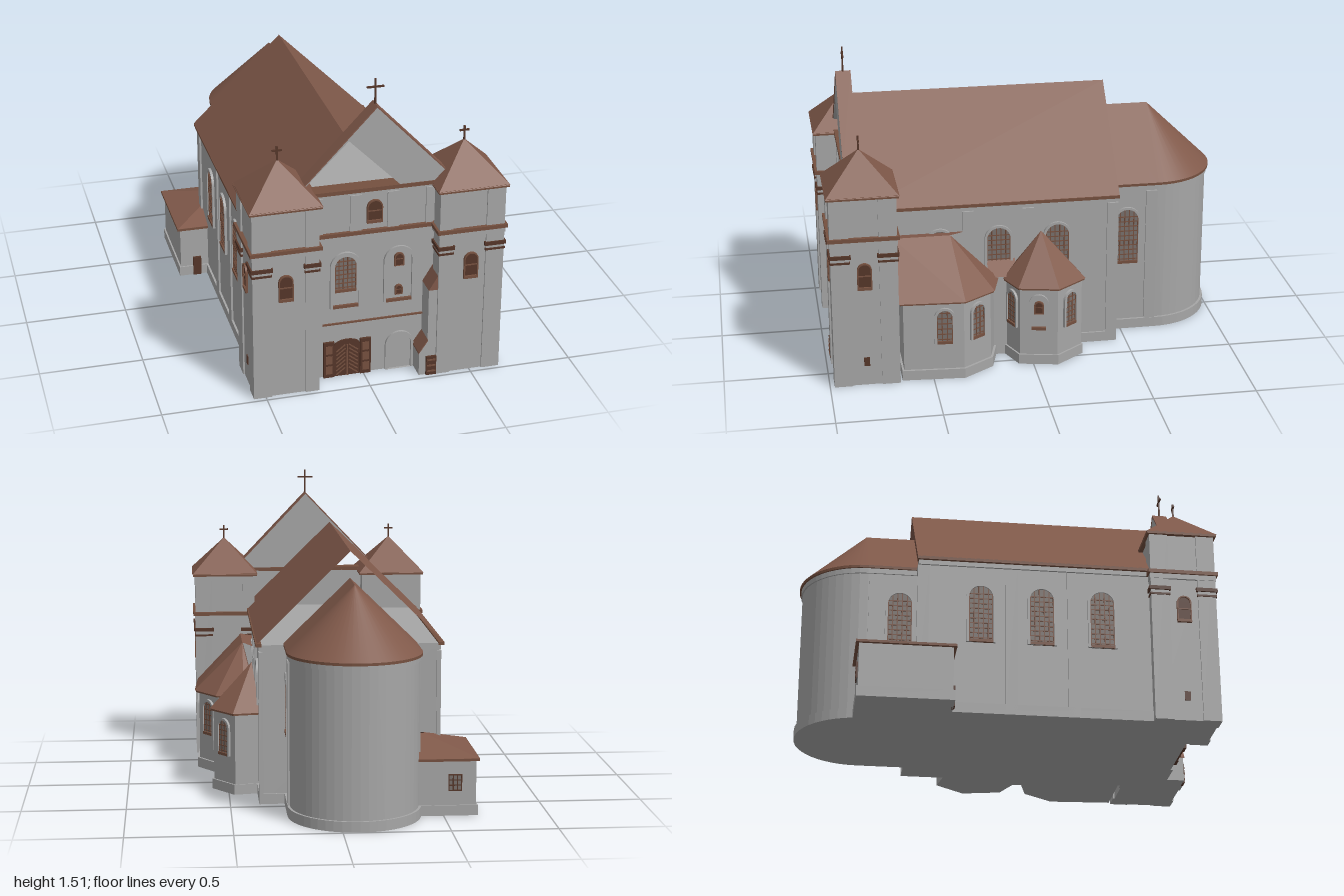
import * as THREE from 'three';

const material = (name, color, side = THREE.FrontSide) => {
  const m = new THREE.MeshStandardMaterial({ color, side });
  m.name = name;
  return m;
};

export function createModel() {
  const wall = material('grey plaster', 0xa6a6a6);
  const tile = material('brown roof tile', 0x80594a, THREE.DoubleSide);
  const trim = material('brown trim', 0x75503f);
  const wood = material('dark wood', 0x553629);
  const glass = material('grey glass', 0x77706c);
  const root = new THREE.Group();
  root.name = 'church';
  const CX = -0.08; // nave axis

  const add = (name, geo, mat, parent = root) => {
    const m = new THREE.Mesh(geo, mat);
    m.name = name;
    parent.add(m);
    return m;
  };
  // box given by its limits
  const box = (name, mat, x0, x1, y0, y1, z0, z1, parent = root) => {
    const m = add(name, new THREE.BoxGeometry(x1 - x0, y1 - y0, z1 - z0), mat, parent);
    m.position.set((x0 + x1) / 2, (y0 + y1) / 2, (z0 + z1) / 2);
    return m;
  };
  // upright prism over a floor plan of [x, z] points
  const prism = (name, mat, plan, y0, y1) => {
    const shape = new THREE.Shape(plan.map(([x, z]) => new THREE.Vector2(x, -z)));
    const geo = new THREE.ExtrudeGeometry(shape, { depth: y1 - y0, bevelEnabled: false });
    geo.rotateX(-Math.PI / 2).translate(0, y0, 0);
    return add(name, geo, mat);
  };
  // plate in the xy plane, extruded along z
  const plate = (name, mat, pts, z0, z1) => {
    const shape = new THREE.Shape(pts.map(([x, y]) => new THREE.Vector2(x, y)));
    const geo = new THREE.ExtrudeGeometry(shape, { depth: z1 - z0, bevelEnabled: false });
    return add(name, geo.translate(0, 0, z0), mat);
  };
  // roof surface between an eave line and an upper line of equal length
  const roof = (name, eave, upper, smooth = false) => {
    let geo = new THREE.BufferGeometry();
    const index = [];
    for (let i = 0; i < eave.length - 1; i++) {
      const a = 2 * i;
      index.push(a, a + 1, a + 2, a + 2, a + 1, a + 3);
    }
    const pos = eave.flatMap((p, i) => [...p, ...upper[i]]);
    geo.setAttribute('position', new THREE.Float32BufferAttribute(pos, 3));
    geo.setIndex(index);
    if (!smooth) geo = geo.toNonIndexed();
    geo.computeVertexNormals();
    return add(name, geo, tile);
  };
  const archShape = (w, h, rise = w / 2) => {
    const s = new THREE.Shape();
    s.moveTo(-w / 2, 0);
    s.lineTo(w / 2, 0);
    s.lineTo(w / 2, h - rise);
    s.absellipse(0, h - rise, w / 2, rise, 0, Math.PI, false);
    s.lineTo(-w / 2, 0);
    return s;
  };
  const arch = (shape, depth) => new THREE.ExtrudeGeometry(shape, { depth, bevelEnabled: false, curveSegments: 10 });

  // arched window on a wall; kind: 'grid' (glazed), 'dark' (louvres) or 'blind'
  const arched = (x, z, rot, y, w, h, kind = 'grid', sill = true) => {
    const g = new THREE.Group();
    g.name = kind + 'Window';
    g.position.set(x, y, z);
    g.rotation.y = rot;
    root.add(g);
    const t = kind === 'dark' ? 0.006 : 0.012;
    const ring = archShape(w + 2 * t, h + t);
    ring.holes.push(archShape(w, h));
    add('surround', arch(ring, 0.012), kind === 'dark' ? trim : wall, g);
    if (sill) box('sill', trim, -w / 2, w / 2, 0, 0.014, 0, 0.013, g);
    if (kind === 'blind') return g;
    add('pane', arch(archShape(w, h), 0.004), kind === 'dark' ? wood : glass, g);
    if (kind === 'dark') {
      box('louvre', trim, -w / 2, w / 2, h * 0.52, h * 0.56, 0, 0.008, g);
      return g;
    }
    const n = w > 0.09 ? 5 : 3;
    for (let i = 0; i <= n; i++) {
      const u = Math.max(-0.48, Math.min(0.48, i / n - 0.5));
      const top = h - w / 2 + w * Math.sqrt(0.25 - u * u);
      box('upright bar', trim, u * w - 0.0025, u * w + 0.0025, 0, top, 0, 0.007, g);
    }
    for (let yy = 0.02; yy < h - w * 0.2; yy += w / n * 1.1) {
      const over = Math.max(0, yy - (h - w / 2));
      const half = Math.sqrt(w * w / 4 - over * over);
      box('cross bar', trim, -half, half, yy, yy + 0.005, 0, 0.007, g);
    }
    return g;
  };
  // window at fraction t along a wall from a to b, outside on the side (-dz, dx)
  const onEdge = (a, b, t, ...rest) => {
    const dx = b[0] - a[0], dz = b[1] - a[1];
    return arched(a[0] + dx * t, a[1] + dz * t, Math.atan2(-dz, dx), ...rest);
  };

  // Nave
  box('nave walls', wall, CX - 0.43, CX + 0.43, 0, 0.78, -0.44, 0.82);
  box('nave plinth', wall, CX - 0.44, CX + 0.44, 0, 0.05, -0.45, 0.7);
  box('nave cornice', wall, CX - 0.44, CX + 0.44, 0.75, 0.78, -0.448, 0.7);
  roof('nave roof', [[-0.535, 0.785, -0.455], [-0.535, 0.785, 0.82]], [[CX, 1.23, -0.455], [CX, 1.23, 0.82]]);
  roof('nave roof', [[0.37, 0.785, -0.455], [0.37, 0.785, 0.82]], [[CX, 1.23, -0.455], [CX, 1.23, 0.82]]);
  for (const s of [-1, 1]) {
    const x = CX + s * 0.43, rot = s * Math.PI / 2;
    box('nave eave', trim, CX + s * 0.44 - 0.014, CX + s * 0.44 + 0.014, 0.772, 0.787, -0.455, 0.7);
    for (const z of [0.29, -0.005, -0.425])
      box('nave pilaster', wall, x - 0.01, x + 0.01, 0, 0.745, z - 0.028, z + 0.028);
    for (const z of [0.43, 0.14, -0.15]) arched(x, z, rot, 0.36, 0.115, 0.29);
    arched(CX + s * 0.305, -0.525, rot, 0.36, 0.115, 0.29);
    box('apse pilaster', wall, CX + s * 0.305 - 0.01, CX + s * 0.305 + 0.01, 0, 0.745, -0.675, -0.62);
  }

  // Apse: straight bay with a round end
  const apsePlan = (r) => {
    const p = [[CX + r, -0.44]];
    for (let i = 0; i <= 24; i++) {
      const a = Math.PI * i / 24;
      p.push([CX + r * Math.cos(a), -0.68 - r * Math.sin(a)]);
    }
    p.push([CX - r, -0.44]);
    return p;
  };
  prism('apse walls', wall, apsePlan(0.305), 0, 0.78);
  prism('apse plinth', wall, apsePlan(0.317), 0, 0.05);
  prism('apse cornice', wall, apsePlan(0.312), 0.75, 0.775);
  prism('apse eave', trim, apsePlan(0.32), 0.775, 0.788);
  const eave = apsePlan(0.32).map(([x, z]) => [x, 0.788, z]);
  roof('apse roof', eave, eave.map(([, , z]) => [CX, 1.1, Math.max(z, -0.68)]), true);

  // Front towers
  for (const [cx, out] of [[-0.4, -1], [0.49, 1]]) {
    const cz = 0.82, h = 0.158;
    const square = (name, mat, r, y0, y1) => box(name, mat, cx - r, cx + r, y0, y1, cz - r, cz + r);
    square('tower walls', wall, h - 0.008, 0, 0.965);
    for (const sx of [-1, 1]) for (const sz of [-1, 1]) {
      const w = sx === out ? 0.088 : 0.066;
      const corner = (name, mat, e, y0, y1) => box(name, mat,
        sx > 0 ? cx + h - w - e : cx - h - e, sx > 0 ? cx + h + e : cx - h + w + e, y0, y1,
        sz > 0 ? cz + h - 0.088 - e : cz - h - e, sz > 0 ? cz + h + e : cz - h + 0.088 + e);
      corner('tower pilaster', wall, 0, 0, 0.965);
      corner('upper capital', wood, 0.008, 0.664, 0.682);
      corner('lower capital', wood, 0.004, 0.638, 0.648);
    }
    square('tower frieze', wall, 0.161, 0.725, 0.75);
    square('tower cornice', trim, 0.17, 0.75, 0.768);
    square('tower eave', trim, 0.17, 0.96, 0.974);
    const r = 0.173, base = [[-r, -r], [r, -r], [r, r], [-r, r], [-r, -r]].map(([x, z]) => [cx + x, 0.97, cz + z]);
    roof('tower roof', base, base.map(() => [cx, 1.15, cz]));
    box('tower cross post', wood, cx - 0.004, cx + 0.004, 1.14, 1.215, cz - 0.004, cz + 0.004);
    box('tower cross arm', wood, cx - 0.023, cx + 0.023, 1.19, 1.198, cz - 0.004, cz + 0.004);
    arched(cx, cz + h - 0.008, 0, 0.5, 0.058, 0.13, 'dark');
    arched(cx + out * (h - 0.008), cz, out * Math.PI / 2, 0.5, 0.058, 0.13, 'dark');
    const slot = cx + out * (h - 0.008);
    box('small tower window', wood, slot - 0.004, slot + 0.004, 0.1, 0.145, cz - 0.014, cz + 0.014);
  }

  // Facade between the towers
  const FZ = 0.87;
  box('facade wall', wall, -0.26, 0.36, 0, 0.968, 0.81, FZ);
  box('facade cornice', trim, -0.25, 0.34, 0.75, 0.768, 0.81, 0.888);
  box('parapet cap', trim, -0.25, 0.34, 0.966, 0.985, 0.81, 0.886);
  box('facade string course', trim, -0.2, 0.29, 0.281, 0.289, FZ, FZ + 0.008);
  for (const [a, b] of [[-0.235, -0.2], [-0.07, -0.015], [0.11, 0.165], [0.295, 0.33]])
    box('attic pilaster', wall, a, b, 0.768, 0.95, FZ, FZ + 0.008);
  arched(-0.09, FZ, 0, 0.37, 0.125, 0.28, 'blind');
  arched(-0.09, FZ, 0, 0.455, 0.104, 0.185, 'grid');
  arched(0.17, FZ, 0, 0.37, 0.125, 0.28, 'blind');
  arched(0.17, FZ, 0, 0.558, 0.036, 0.062, 'dark', false);
  arched(0.17, FZ, 0, 0.405, 0.026, 0.045, 'dark', false);
  arched(0.048, FZ, 0, 0.8, 0.064, 0.112, 'dark');
  arched(0.178, FZ, 0, 0, 0.115, 0.19, 'blind', false);

  // Main door with its open leaves
  const door = add('main door', arch(archShape(0.125, 0.195, 0.03), 0.008), wood);
  door.position.set(CX, 0, FZ);
  box('door joint', trim, CX - 0.003, CX + 0.003, 0, 0.17, FZ, FZ + 0.012);
  for (const s of [-1, 1]) {
    const c = CX + s * 0.09;
    box('door leaf', wood, c - 0.026, c + 0.026, 0, 0.19, FZ, FZ + 0.014);
    for (const y of [0.02, 0.075, 0.13]) box('door panel', trim, c - 0.016, c + 0.016, y, y + 0.042, FZ + 0.01, FZ + 0.017);
    for (let i = 0; i < 7; i++) {
      const slat = box('door slat', trim, -0.003, 0.003, -0.028, 0.028, 0, 0.004);
      slat.position.set(CX + s * 0.031, 0.025 + i * 0.021, FZ + 0.008);
      slat.rotation.z = s * 0.9;
    }
  }

  // Gable wall, cut out along the nave roof, with tiled coping
  plate('gable wall', wall, [[-0.29, 1.025], [0.05, 1.383], [0.39, 1.025], [0.39, 0.96], [0.19, 0.96], [CX, 1.23], [-0.285, 1.022]], 0.815, 0.882);
  for (const s of [-1, 1])
    plate('gable coping', tile, [[0.05, 1.382], [0.05 + s * 0.34, 1.024], [0.05 + s * 0.34, 1.032], [0.05, 1.39]], 0.812, 0.886);
  box('gable cross post', wood, 0.046, 0.054, 1.38, 1.51, 0.846, 0.854);
  box('gable cross arm', wood, 0.01, 0.09, 1.466, 1.474, 0.846, 0.854);

  // Stair turret in the corner beside the right tower
  box('stair turret', wall, 0.29, 0.345, 0, 0.456, 0.86, 0.968);
  plate('stair turret roof', tile, [[0.288, 0.456], [0.345, 0.456], [0.345, 0.55]], 0.86, 0.972);
  plate('stair lean-to', wall, [[0.25, 0], [0.292, 0], [0.292, 0.185], [0.25, 0.12]], 0.86, 0.968);
  plate('stair lean-to roof', tile, [[0.246, 0.118], [0.29, 0.184], [0.29, 0.192], [0.246, 0.126]], 0.86, 0.974);
  box('stair door', wood, 0.283, 0.333, 0, 0.1, 0.96, 0.979);
  for (let i = 0; i < 3; i++) box('stair door slat', trim, 0.287, 0.329, 0.018 + i * 0.03, 0.026 + i * 0.03, 0.975, 0.982);

  // Side chapels: plan runs along the eave, walls are set in towards a centre
  const inset = (plan, [cx, cz], k) => plan.map(([x, z]) => [cx + (x - cx) * k, cz + (z - cz) * k]);
  const chapel = (name, plan, centre, upper) => {
    const walls = inset(plan, centre, 0.92);
    prism(name + ' walls', wall, walls, 0, 0.41);
    prism(name + ' plinth', wall, inset(plan, centre, 0.96), 0, 0.05);
    prism(name + ' eave', trim, inset(plan, centre, 0.98), 0.398, 0.41);
    roof(name + ' roof', plan.map(([x, z]) => [x, 0.408, z]), upper);
    return walls;
  };
  const hip = [0.41, 0.65, 0.385];
  const a = chapel('front chapel', [[0.35, 0.66], [0.64, 0.66], [0.66, 0.345], [0.555, 0.19], [0.41, 0.15], [0.35, 0.17]],
    [0.35, 0.42], [[0.41, 0.65, 0.66], [0.41, 0.65, 0.66], hip, hip, hip, hip]);
  roof('front chapel roof back', [[0.35, 0.64, 0.66], [0.35, 0.64, 0.3]], [[0.41, 0.65, 0.66], hip]);
  onEdge(a[1], a[2], 0.68, 0.185, 0.075, 0.175);
  onEdge(a[2], a[3], 0.5, 0.185, 0.075, 0.175);
  const peak = [0.378, 0.63, -0.065];
  const b = chapel('rear chapel', [[0.345, 0.1], [0.42, 0.13], [0.55, 0.075], [0.59, -0.12], [0.48, -0.268], [0.345, -0.245]],
    [0.345, -0.07], Array(6).fill(peak));
  onEdge(b[1], b[2], 0.5, 0.185, 0.07, 0.175);
  onEdge(b[2], b[3], 0.5, 0.185, 0.07, 0.175, 'blind');
  onEdge(b[2], b[3], 0.5, 0.27, 0.035, 0.06, 'dark', false);
  onEdge(b[3], b[4], 0.5, 0.185, 0.07, 0.175);
  box('chapel link', wall, 0.34, 0.42, 0, 0.42, 0.08, 0.2);
  roof('chapel link roof', [[0.43, 0.42, 0.2], [0.43, 0.42, 0.06]], [[0.34, 0.49, 0.2], [0.34, 0.49, 0.06]]);

  // Vestry on the other side
  box('vestry walls', wall, -0.655, -0.35, 0, 0.27, -0.725, -0.29);
  box('vestry plinth', wall, -0.663, -0.35, 0, 0.05, -0.733, -0.282);
  box('vestry eave', trim, -0.67, -0.36, 0.264, 0.276, -0.74, -0.275);
  const v = [[-0.36, -0.275], [-0.67, -0.275], [-0.67, -0.74], [-0.36, -0.74]].map(([x, z]) => [x, 0.275, z]);
  roof('vestry roof', v, [[-0.36, 0.355, -0.5], [-0.43, 0.355, -0.5], [-0.43, 0.355, -0.52], [-0.36, 0.355, -0.52]]);
  box('vestry door', wood, -0.592, -0.55, 0, 0.1, -0.29, -0.276);
  box('vestry window', glass, -0.585, -0.525, 0.12, 0.2, -0.73, -0.72);
  for (let i = 0; i < 4; i++) {
    box('vestry window bar', wood, -0.587 + i * 0.02, -0.582 + i * 0.02, 0.12, 0.2, -0.733, -0.725);
    box('vestry window bar', wood, -0.587, -0.523, 0.12 + i * 0.025, 0.125 + i * 0.025, -0.733, -0.725);
  }
  return root;
}
